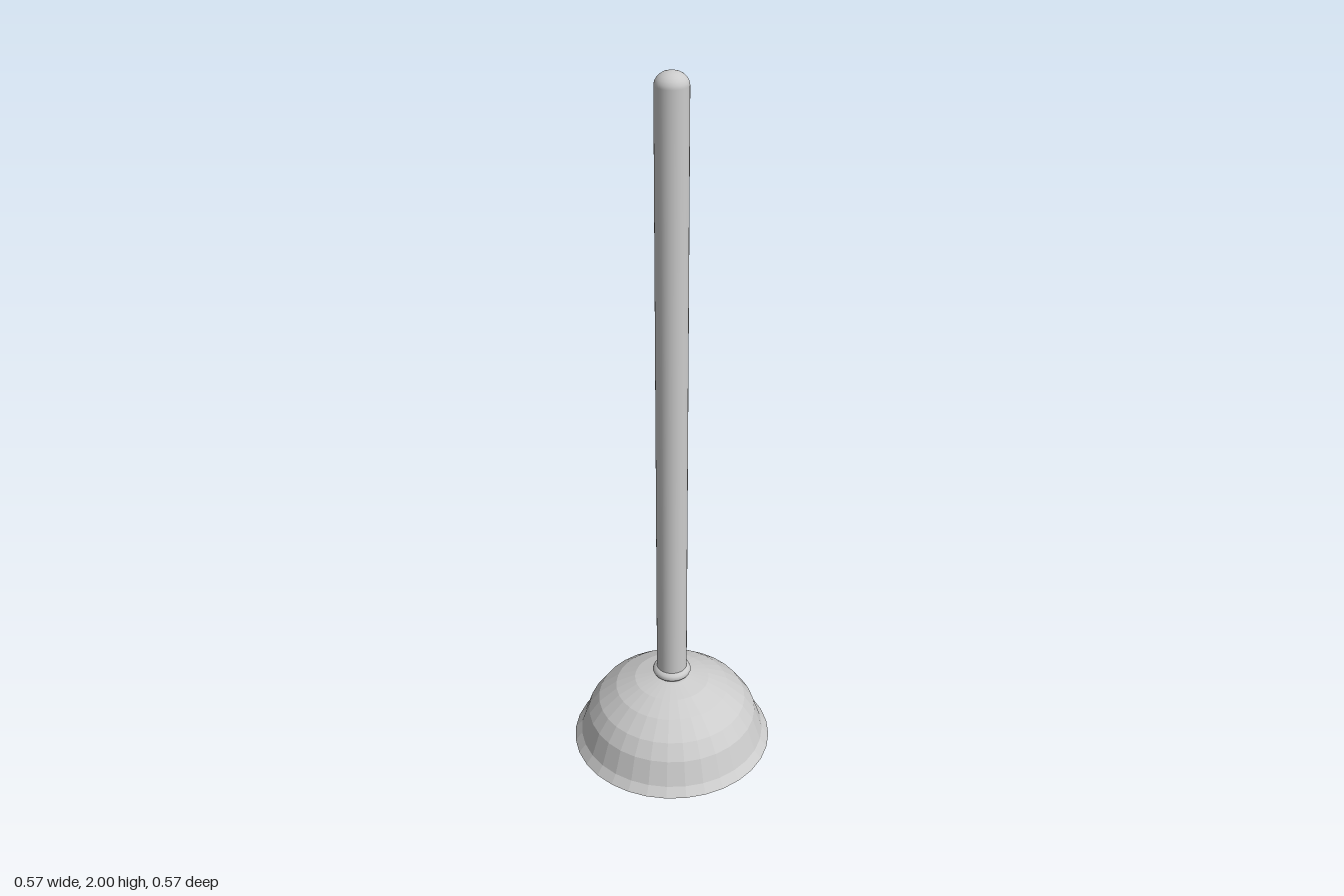
import * as THREE from 'three';

const SEGMENTS = 32;

// Revolved part from [radius, height] pairs, listed from bottom to top
function turned(name, profile, flatShading) {
  const points = profile.map(([r, y]) => new THREE.Vector2(r, y));
  const material = new THREE.MeshStandardMaterial({ color: 0xcccccc, flatShading });
  const mesh = new THREE.Mesh(new THREE.LatheGeometry(points, SEGMENTS), material);
  mesh.name = name;
  return mesh;
}

export function createModel() {
  const model = new THREE.Group();
  model.name = 'plunger';

  // Faceted cup with a flared lip and a closed underside
  model.add(turned('cup', [
    [0, 0], [0.265, 0], [0.287, 0.01], [0.267, 0.035], [0.243, 0.105],
    [0.213, 0.148], [0.162, 0.19], [0.107, 0.216], [0.05, 0.23], [0, 0.232],
  ], true));

  // Rounded collar where the handle enters the cup
  model.add(turned('collar', [
    [0.04, 0.228], [0.045, 0.235], [0.052, 0.239], [0.055, 0.246],
    [0.052, 0.254], [0.046, 0.259], [0.04, 0.262],
  ], false));

  // Straight handle with a rounded tip
  const radius = 0.043, shoulder = 1.966, tipHeight = 0.034;
  const handle = [[radius, 0.228]];
  for (let i = 0; i <= 6; i++) {
    const a = (i / 6) * Math.PI / 2;
    handle.push([i === 6 ? 0 : radius * Math.cos(a), shoulder + tipHeight * Math.sin(a)]);
  }
  model.add(turned('handle', handle, false));

  return model;
}
